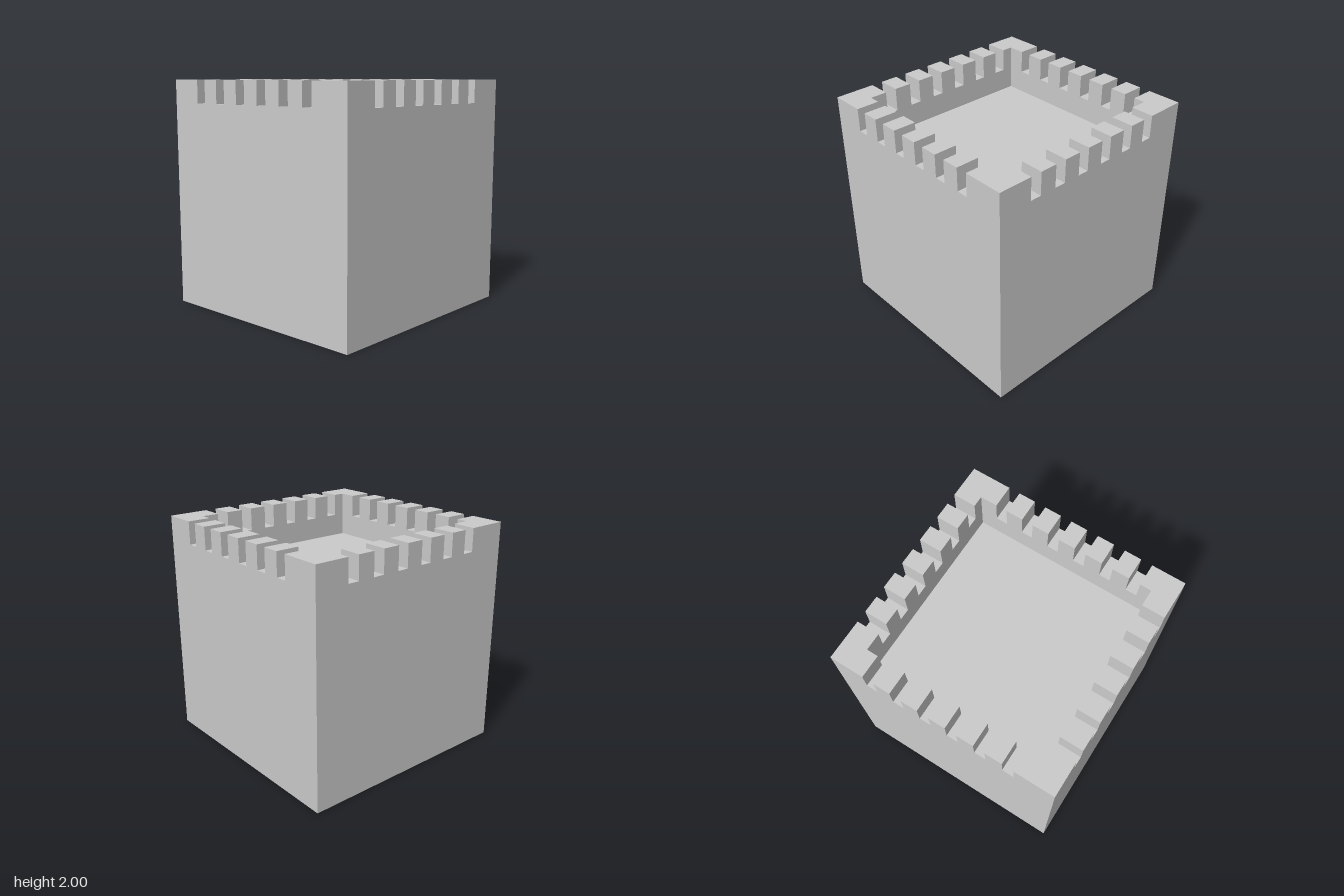
import * as THREE from 'three';
import { mergeGeometries } from 'three/addons/utils/BufferGeometryUtils.js';

const OUTER = 1, INNER = 0.8, TOP = 2, NOTCH_Y = 1.8, FLOOR_Y = 1.6, NOTCH_W = 0.1;
const notches = Array.from({ length: 6 }, (_, i) => -0.7 + 0.25 * i);
const material = new THREE.MeshStandardMaterial({ color: 0xcccccc, flatShading: true });

const polygon = (points) =>
  new THREE.ShapeGeometry(new THREE.Shape(points.map(([x, y]) => new THREE.Vector2(x, y))));

// Upright panel with the notches cut into its top edge
function notchedPanel(half, bottom, sign) {
  const points = [[-half, bottom], [-half, TOP]];
  for (const a of notches) {
    const b = a + NOTCH_W;
    points.push([a, TOP], [a, NOTCH_Y], [b, NOTCH_Y], [b, TOP]);
  }
  points.push([half, TOP], [half, bottom]);
  return polygon(points.map(([x, y]) => [x * sign, y]));
}

// Level strip of the wall's thickness, mitred where it reaches a corner
function strip(a, b, y) {
  const inner = (x) => THREE.MathUtils.clamp(x, -INNER, INNER);
  return polygon([[a, -OUTER], [b, -OUTER], [inner(b), -INNER], [inner(a), -INNER]])
    .rotateX(-Math.PI / 2).translate(0, y, 0);
}

// One crenellated side, facing +z
function sideGeometry() {
  const parts = [
    notchedPanel(OUTER, 0, 1).translate(0, 0, OUTER),
    notchedPanel(INNER, FLOOR_Y, -1).rotateY(Math.PI).translate(0, 0, INNER),
  ];
  const cheek = (x, turn) => new THREE.PlaneGeometry(OUTER - INNER, TOP - NOTCH_Y)
    .rotateY(turn).translate(x, (TOP + NOTCH_Y) / 2, (OUTER + INNER) / 2);
  let start = -OUTER;
  for (const a of notches) {
    const b = a + NOTCH_W;
    parts.push(strip(start, a, TOP), strip(a, b, NOTCH_Y));
    parts.push(cheek(a, Math.PI / 2), cheek(b, -Math.PI / 2));
    start = b;
  }
  parts.push(strip(start, OUTER, TOP));
  return mergeGeometries(parts);
}

export function createModel() {
  const model = new THREE.Group();
  model.name = 'castleTower';
  const add = (name, geometry) => {
    const mesh = new THREE.Mesh(geometry, material);
    mesh.name = name;
    model.add(mesh);
    return mesh;
  };

  // Four identical sides turned about the centre
  const side = sideGeometry();
  ['frontWall', 'leftWall', 'backWall', 'rightWall'].forEach((name, i) => {
    add(name, side).rotation.y = i * Math.PI / 2;
  });

  // Sunken roof floor and underside
  add('roofFloor', new THREE.PlaneGeometry(2 * INNER, 2 * INNER)
    .rotateX(-Math.PI / 2).translate(0, FLOOR_Y, 0));
  add('underside', new THREE.PlaneGeometry(2 * OUTER, 2 * OUTER).rotateX(Math.PI / 2));

  return model;
}
